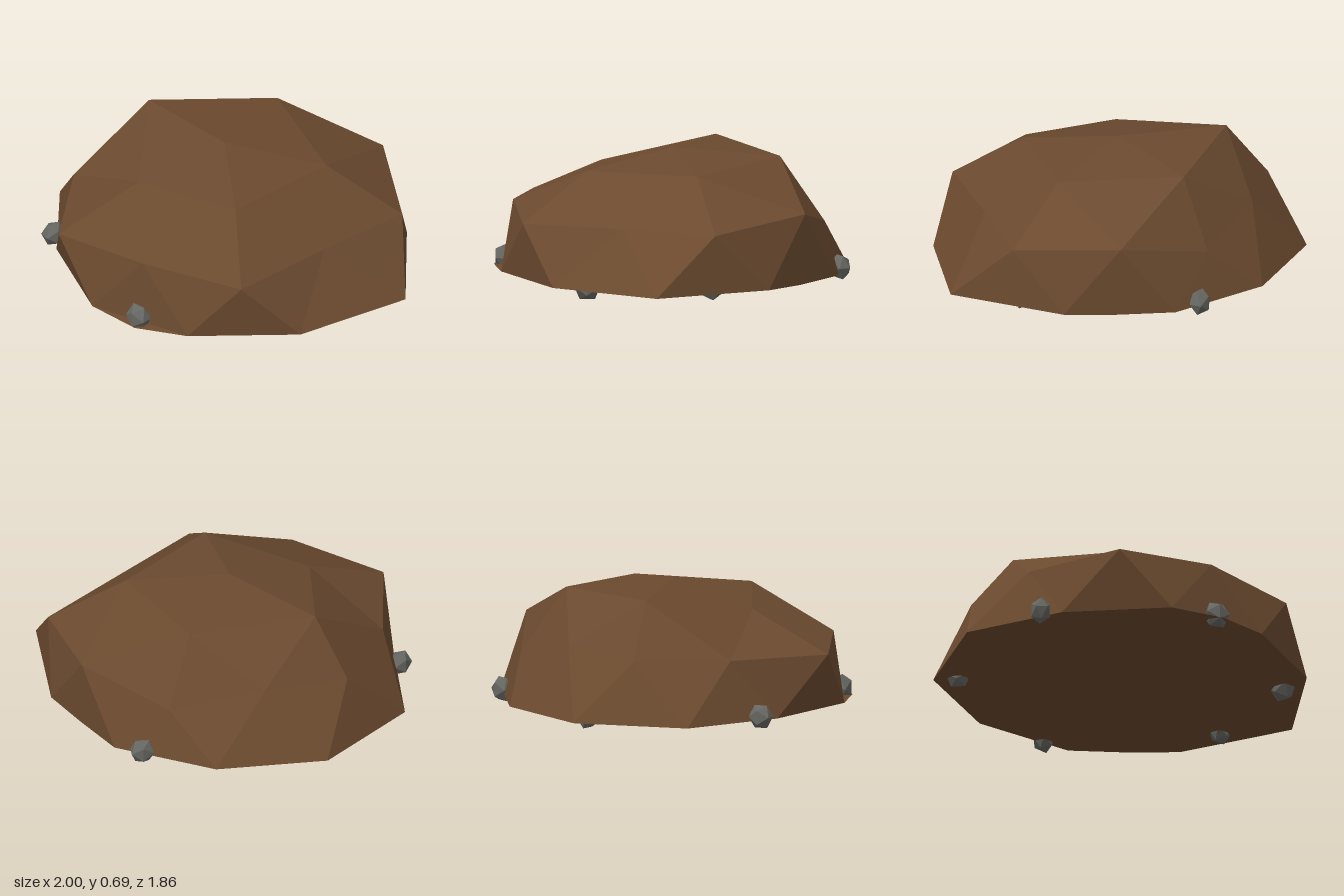
import * as THREE from 'three';

const earth = new THREE.MeshStandardMaterial({ color: 0x6b4a2f, flatShading: true });
const stone = new THREE.MeshStandardMaterial({ color: 0x666662, flatShading: true });

// Faceted mound: a five-fold icosphere with irregular rings and a flattened underside
function moundGeometry() {
  const apex = [-0.05, 0.69, 0];
  const crown = [[0.5, 0.62, 0], [0.12, 0.61, 0.51], [-0.45, 0.57, 0.29], [-0.53, 0.67, -0.35], [0.12, 0.65, -0.54]];
  const shoulder = [[0.91, 0.37, 0], [0.23, 0.36, 0.88], [-0.82, 0.37, 0.57], [-0.71, 0.38, -0.49], [0.21, 0.31, -0.76]];
  const between = [[0.58, 0.37, 0.42], [-0.32, 0.4, 0.8], [-0.86, 0.38, 0], [-0.29, 0.41, -0.69], [0.69, 0.43, -0.54]];
  const rim = [[1, 0.34], [0.53, 0.79], [-0.05, 0.93], [-0.6, 0.75], [-0.9, 0.25],
    [-1, -0.3], [-0.63, -0.8], [-0.05, -0.93], [0.5, -0.76], [0.87, -0.3]].map(([x, z]) => [x, 0.062, z]);
  const foot = [[0.72, 0.52], [-0.34, 0.9], [-0.91, 0], [-0.28, -0.83], [0.7, -0.51]].map(([x, z]) => [x, 0.055, z]);
  const base = [0, 0.055, 0];

  const out = [];
  const tri = (...corners) => corners.forEach((c) => out.push(...c));
  for (let i = 0; i < 5; i++) {
    const j = (i + 1) % 5;
    const before = rim[(2 * i + 9) % 10], a = rim[2 * i], b = rim[2 * i + 1];
    // top
    tri(apex, crown[j], crown[i]);
    tri(crown[i], crown[j], between[i]);
    tri(crown[i], between[i], shoulder[i]);
    tri(crown[j], shoulder[j], between[i]);
    // sides
    tri(shoulder[i], a, before);
    tri(shoulder[i], between[i], a);
    tri(between[i], shoulder[j], b);
    tri(between[i], b, a);
    // underside
    tri(a, b, foot[i]);
    tri(before, a, base);
    tri(a, foot[i], base);
    tri(foot[i], b, base);
  }
  const geometry = new THREE.BufferGeometry();
  geometry.setAttribute('position', new THREE.Float32BufferAttribute(out, 3));
  geometry.computeVertexNormals();
  return geometry;
}

export function createModel() {
  const model = new THREE.Group();

  const mound = new THREE.Mesh(moundGeometry(), earth);
  mound.name = 'mound';
  model.add(mound);

  // Ring of small stones half buried around the foot: x, y, z, radius
  const pebbles = new THREE.Group();
  pebbles.name = 'pebbles';
  [
    [0.82, 0.08, 0, 0.07],
    [0.56, 0.07, 0.61, 0.078],
    [-0.33, 0.093, 0.84, 0.074],
    [-0.94, 0.087, 0.14, 0.068],
    [-0.56, 0.082, -0.69, 0.07],
    [0.35, 0.083, -0.81, 0.07],
  ].forEach(([x, y, z, r], i) => {
    const pebble = new THREE.Mesh(new THREE.IcosahedronGeometry(r, 0), stone);
    pebble.name = `pebble${i + 1}`;
    pebble.position.set(x, y, z);
    pebble.rotation.y = i * 1.3;
    pebble.scale.set(1, 1.04, 0.85);
    pebbles.add(pebble);
  });
  model.add(pebbles);

  return model;
}
